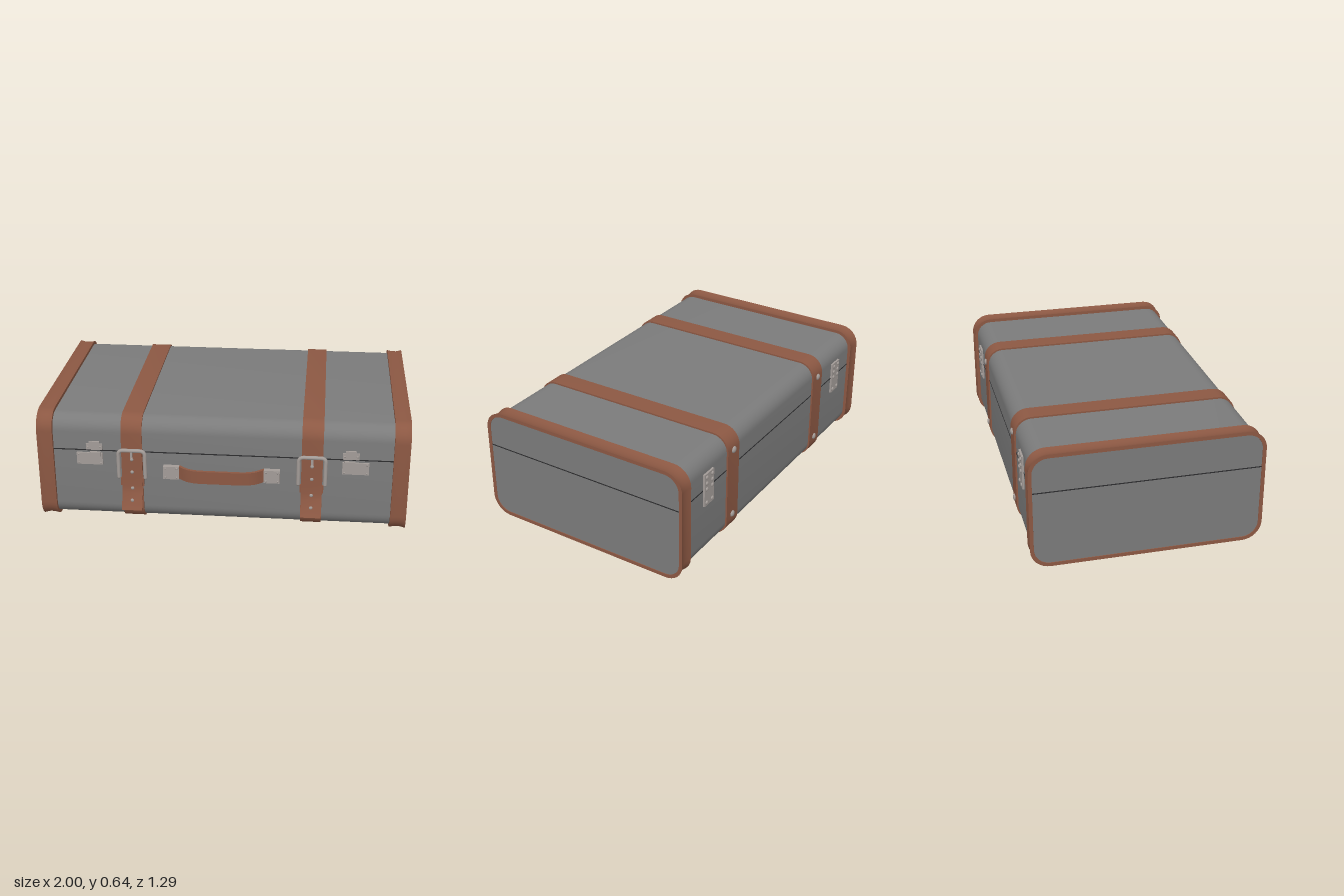
import * as THREE from 'three';
import { toCreasedNormals } from 'three/addons/utils/BufferGeometryUtils.js';

const mat = (name, color) => Object.assign(new THREE.MeshStandardMaterial({ color }), { name });
const CZ = -0.025, CY = 0.32; // centre of the case profile
const HZ = 0.6, HY = 0.3, R = 0.085; // half sizes and corner radius

// Rounded outline of the case in (z, y), grown by an offset; null gives its centre
function outline(offset) {
  const pts = [];
  [[1, 1], [-1, 1], [-1, -1], [1, -1]].forEach(([sz, sy], q) => {
    for (let i = 0; i <= 8; i++) {
      const a = (q + i / 8) * Math.PI / 2, r = R + (offset ?? 0);
      pts.push(offset === null ? [0, 0]
        : [sz * (HZ - R) + r * Math.cos(a), sy * (HY - R) + r * Math.sin(a)]);
    }
  });
  return pts;
}

// Skin through [x, offset] sections of the outline
function loft(sections) {
  const pos = [], idx = [], n = outline(0).length;
  for (const [x, off] of sections) for (const [z, y] of outline(off)) pos.push(x, y, z);
  for (let s = 0; s < sections.length - 1; s++) {
    for (let j = 0; j < n; j++) {
      const a = s * n + j, b = s * n + (j + 1) % n, c = a + n, d = b + n;
      if (sections[s][1] !== null) idx.push(a, c, b);
      if (sections[s + 1][1] !== null) idx.push(b, c, d);
      else if (sections[s][1] === null) idx.push(b, c, d);
    }
  }
  const g = new THREE.BufferGeometry();
  g.setAttribute('position', new THREE.Float32BufferAttribute(pos, 3));
  g.setIndex(idx);
  return toCreasedNormals(g, 0.6);
}

// Leather strip of thickness t following a 2D path, extruded to width w
function ribbon(path, t, w) {
  const p = path.map(([u, v]) => new THREE.Vector2(u, v));
  const side = (s) => p.map((q, i) => {
    const d = p[Math.min(i + 1, p.length - 1)].clone().sub(p[Math.max(i - 1, 0)]).normalize();
    return new THREE.Vector2(q.x - d.y * s * t / 2, q.y + d.x * s * t / 2);
  });
  const g = new THREE.ExtrudeGeometry(new THREE.Shape([...side(1), ...side(-1).reverse()]),
    { depth: w, bevelEnabled: false });
  return toCreasedNormals(g.translate(0, 0, -w / 2), 0.6);
}

export function createModel() {
  const model = new THREE.Group();
  model.name = 'suitcase';
  const grey = mat('grey shell', 0x7b7b7b);
  const leather = mat('brown leather', 0x8c5843);
  const metal = mat('metal', 0xa39c98);
  const dark = mat('dark seam', 0x2c2c2e);

  const add = (name, geo, m, x = 0, y = 0, z = 0) => {
    const mesh = new THREE.Mesh(geo, m);
    mesh.name = name;
    mesh.position.set(x, y, z);
    model.add(mesh);
    return mesh;
  };
  const box = (name, m, x, y, z, w, h, d) => add(name, new THREE.BoxGeometry(w, h, d), m, x, y, z);
  const rivet = (x, y, z, r, axis = 'z') => {
    const mesh = add('rivet', new THREE.SphereGeometry(r, 12, 8), metal, x, y, z);
    mesh.scale[axis] = 0.6;
  };

  // Shell and the line where the lid closes
  add('shell', loft([[-0.997, null], [-0.997, 0], [0.997, 0], [0.997, null]]), grey, 0, CY, CZ);
  box('lidSeam', dark, 0, 0.43, CZ, 1.996, 0.006, 1.203);
  for (const s of [-1, 1]) box('endSeam', dark, s * 0.997, 0.43, CZ, 0.003, 0.005, 1.2);

  // Flared leather bands round both ends
  const band = loft([[0.915, -0.002], [0.915, 0.018], [0.928, 0.015], [0.945, 0.012],
    [0.97, 0.012], [0.988, 0.016], [1, 0.02], [1, 0], [0.99, -0.002]]);
  for (const s of [-1, 1]) {
    add('endBand', band, leather, 0, CY, CZ).rotation.y = s > 0 ? 0 : Math.PI;
  }

  const strap = loft([[-0.057, -0.002], [-0.057, 0.009], [0.057, 0.009], [0.057, -0.002]]);
  // Loose strap end, leaning away from the case at the bottom
  const tonguePath = [[0.59, 0.43], [0.592, 0.3], [0.594, 0.23], [0.6, 0.19], [0.641, 0.105]];
  const tongue = ribbon(tonguePath.map(([z, y]) => [-z, y]), 0.006, 0.112).rotateY(Math.PI / 2);

  // Buckle frame, an upside-down U with rounded corners
  const frame = new THREE.CurvePath();
  const v = (x, y) => new THREE.Vector3(x, y, 0);
  frame.add(new THREE.LineCurve3(v(-0.072, 0.285), v(-0.072, 0.415)));
  frame.add(new THREE.QuadraticBezierCurve3(v(-0.072, 0.415), v(-0.072, 0.443), v(-0.044, 0.443)));
  frame.add(new THREE.LineCurve3(v(-0.044, 0.443), v(0.044, 0.443)));
  frame.add(new THREE.QuadraticBezierCurve3(v(0.044, 0.443), v(0.072, 0.443), v(0.072, 0.415)));
  frame.add(new THREE.LineCurve3(v(0.072, 0.415), v(0.072, 0.285)));
  const buckle = new THREE.TubeGeometry(frame, 48, 0.011, 8);

  for (const s of [-1, 1]) {
    // Straps with their buckles
    const x = s * 0.486;
    add('strap', strap, leather, x, CY, CZ);
    add('strapTongue', tongue, leather, x);
    box('strapKeeper', leather, x, 0.255, 0.588, 0.128, 0.045, 0.01);
    add('buckleFrame', buckle, metal, x, 0, 0.595);
    for (const e of [-1, 1]) add('buckleFoot', new THREE.SphereGeometry(0.011, 8, 6), metal, x + e * 0.072, 0.285, 0.595);
    box('bucklePin', metal, x, 0.425, 0.598, 0.012, 0.045, 0.01);
    for (const [y, z] of [[0.39, 0.594], [0.315, 0.595], [0.22, 0.599], [0.155, 0.62]]) rivet(x, y, z, 0.01);
    for (const y of [0.53, 0.13]) rivet(x, y, -0.634, 0.019);
    for (const z of [-0.46, 0.41]) rivet(x, 0.0115, z, 0.019, 'y');

    // Front latches
    box('latchPlate', metal, s * 0.717, 0.382, 0.579, 0.142, 0.068, 0.012);
    box('latchCatch', metal, s * 0.685, 0.405, 0.581, 0.06, 0.035, 0.018);
    box('latchLid', metal, s * 0.691, 0.452, 0.578, 0.088, 0.036, 0.01);
    box('latchTab', metal, s * 0.691, 0.465, 0.579, 0.058, 0.036, 0.011);
    for (const [px, py] of [[0.657, 0.357], [0.777, 0.357], [0.777, 0.407], [0.657, 0.452], [0.725, 0.452]]) {
      rivet(s * px, py, 0.584, 0.006);
    }

    // Hinges across the lid seam at the back
    box('hingePlate', metal, s * 0.73, 0.43, -0.63, 0.09, 0.19, 0.012);
    for (const y of [0.505, 0.47, 0.435, 0.355]) {
      for (const e of [-1, 1]) rivet(s * 0.73 + e * 0.026, y, -0.637, 0.011);
    }

    // Handle mounts
    box('handleMount', metal, s * 0.272, 0.322, 0.588, 0.086, 0.074, 0.03);
    for (const ex of [-1, 1]) {
      for (const ey of [-1, 1]) rivet(s * 0.272 + ex * 0.031, 0.322 + ey * 0.026, 0.603, 0.006);
    }
  }

  // Bowed leather handle
  const half = [[0.24, 0.578], [0.222, 0.588], [0.205, 0.604], [0.18, 0.621], [0.15, 0.632], [0.115, 0.637]];
  const bow = [...half.map(([x, z]) => [-x, -z]), ...[...half].reverse().map(([x, z]) => [x, -z])];
  add('handle', ribbon(bow, 0.016, 0.072).rotateX(-Math.PI / 2), leather, 0, 0.322, 0);

  return model;
}
